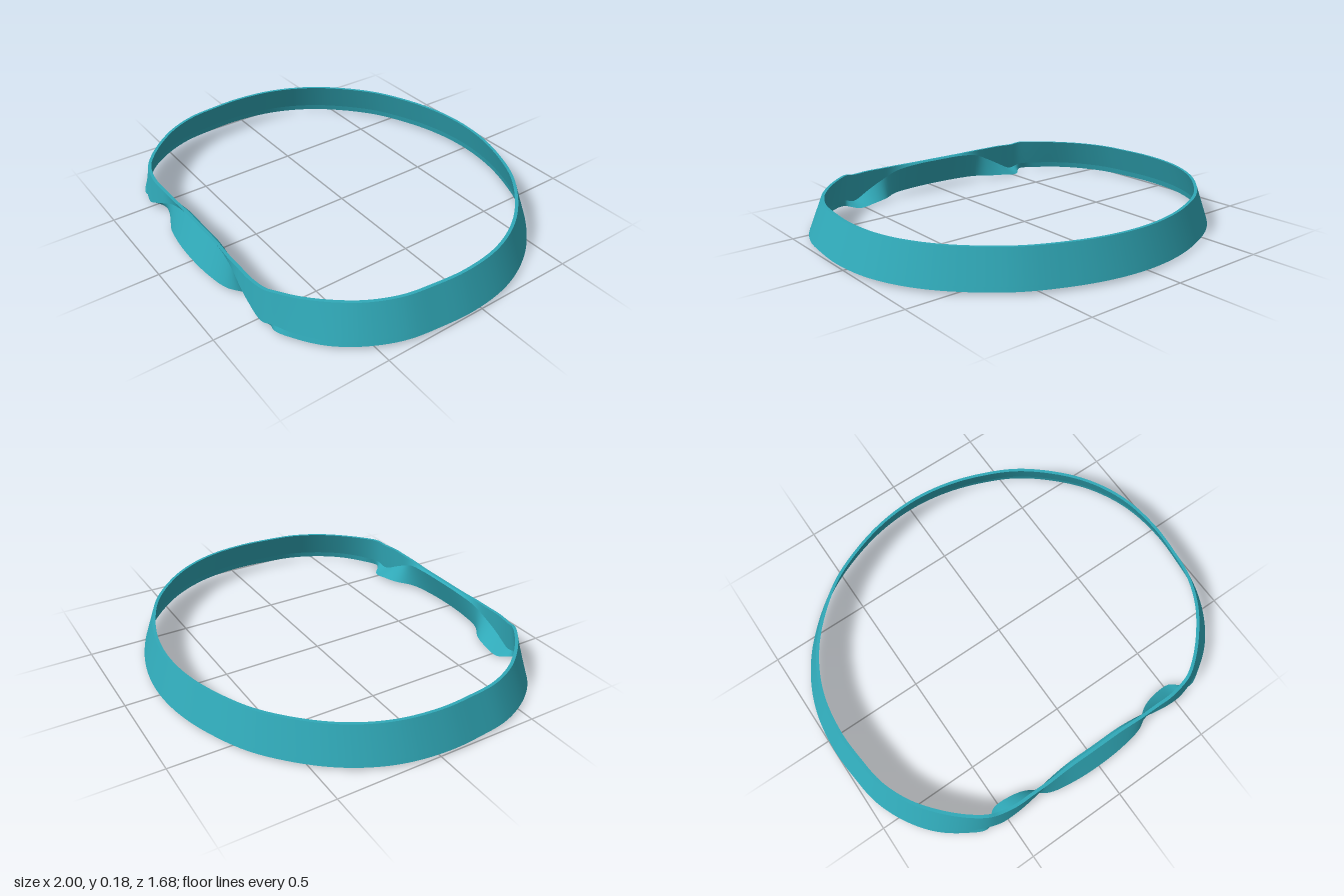
import * as THREE from 'three';

// Front panel stations: x, top z, crease y, crease z, bottom y, bottom z
const PANEL = [
  [0, 0.785, 0.165, 0.775, 0.025, 0.84],
  [0.15, 0.785, 0.163, 0.775, 0.025, 0.832],
  [0.27, 0.79, 0.145, 0.785, 0.025, 0.808],
  [0.36, 0.79, 0.105, 0.795, 0.025, 0.75],
  [0.44, 0.79, 0.065, 0.8, 0.02, 0.73],
  [0.53, 0.775, 0.025, 0.795, 0.01, 0.73],
];
// Side and back stations: lower edge x, z, and how far the upper edge shrinks inward
const BAND = [
  [0.6, 0.78, 0.97], [0.7, 0.735, 0.95], [0.81, 0.65, 0.935], [0.9, 0.53, 0.935],
  [0.965, 0.38, 0.935], [0.99, 0.22, 0.935], [1, 0.05, 0.935], [0.975, -0.15, 0.935],
  [0.91, -0.32, 0.935], [0.8, -0.48, 0.935], [0.6, -0.66, 0.935], [0.4, -0.76, 0.935],
  [0.2, -0.82, 0.935], [0, -0.84, 0.935],
];
const THICKNESS = 0.015;
const STEPS = 320;

// Mirrors half a rail across x = 0 and samples it as a closed smooth curve
function sampleRail(half) {
  const mirrored = half.slice(1, -1).reverse().map((p) => new THREE.Vector3(-p.x, p.y, p.z));
  const curve = new THREE.CatmullRomCurve3([...half, ...mirrored], true);
  return Array.from({ length: STEPS }, (_, i) => curve.getPoint(i / STEPS));
}

// Closed strip of quads between two sampled rails
function strip(a, b) {
  const positions = [];
  const index = [];
  for (let i = 0; i < STEPS; i++) {
    positions.push(...a[i].toArray(), ...b[i].toArray());
    const j = (i + 1) % STEPS;
    index.push(2 * i, 2 * i + 1, 2 * j + 1, 2 * i, 2 * j + 1, 2 * j);
  }
  const geometry = new THREE.BufferGeometry();
  geometry.setAttribute('position', new THREE.Float32BufferAttribute(positions, 3));
  geometry.setIndex(index);
  geometry.computeVertexNormals();
  return geometry;
}

export function createModel() {
  const group = new THREE.Group();
  group.name = 'band';
  const teal = new THREE.MeshStandardMaterial({ color: 0x30a9b8, side: THREE.DoubleSide });
  teal.name = 'teal';

  // Three rails: upper edge, crease line and lower edge
  const top = [], crease = [], bottom = [];
  for (const [x, zt, yc, zc, yb, zb] of PANEL) {
    top.push(new THREE.Vector3(x, 0.182, zt));
    crease.push(new THREE.Vector3(x, yc, zc));
    bottom.push(new THREE.Vector3(x, yb, zb));
  }
  for (const [x, z, s] of BAND) {
    const low = new THREE.Vector3(x, 0.022, z);
    const high = new THREE.Vector3(x * s, 0.192, z * s);
    top.push(high);
    crease.push(low.clone().lerp(high, 0.12));
    bottom.push(low);
  }
  const outer = [top, crease, bottom].map(sampleRail);

  // Inner rails, offset toward the inside of the ring
  const inner = outer.map((rail, k) => rail.map((p, i) => {
    const t = outer[0][(i + 1) % STEPS].clone().sub(outer[0][(i + STEPS - 1) % STEPS]);
    const inward = new THREE.Vector3(t.z, 0, -t.x).normalize();
    const q = p.clone().addScaledVector(inward, THICKNESS);
    if (k === 1) q.y += 0.01;
    return q;
  }));

  // Wrap the cross-section all the way round, one strip per face
  const loop = [...outer, inner[2], inner[1], inner[0]];
  const names = ['outerBand', 'frontPanel', 'lowerRim', 'innerPanel', 'innerBand', 'upperRim'];
  names.forEach((name, k) => {
    const mesh = new THREE.Mesh(strip(loop[k], loop[(k + 1) % loop.length]), teal);
    mesh.name = name;
    group.add(mesh);
  });
  return group;
}
